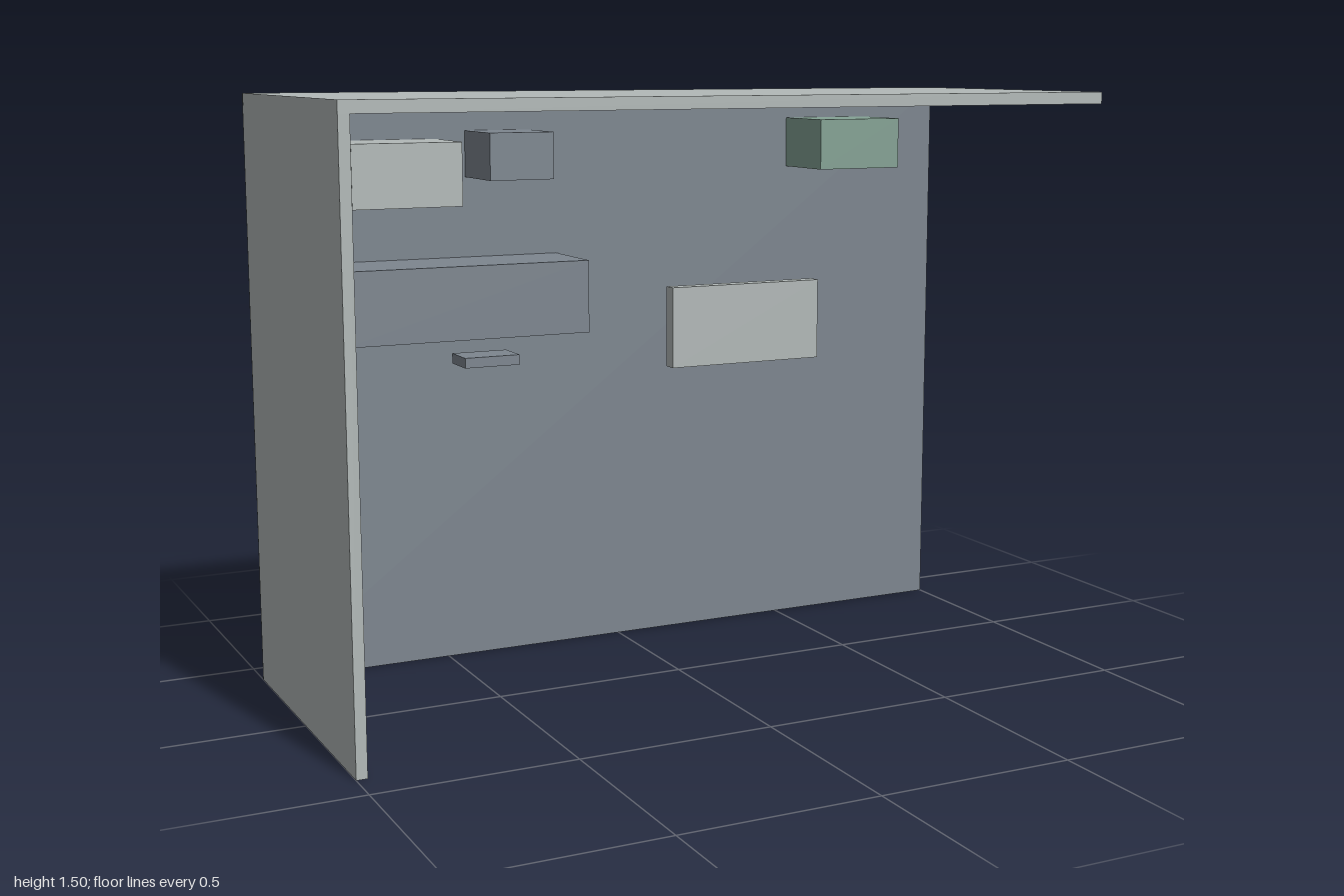
import * as THREE from 'three';

export function createModel() {
  const model = new THREE.Group();
  model.name = 'kitchenAlcove';

  const lightGrey = new THREE.MeshStandardMaterial({ name: 'light grey', color: 0xb2b9b8 });
  const slate = new THREE.MeshStandardMaterial({ name: 'slate grey', color: 0x7d868f });
  const sage = new THREE.MeshStandardMaterial({ name: 'sage green', color: 0x84a294 });

  // Box given by its limits on each axis
  function addBox(name, material, [x0, x1], [y0, y1], [z0, z1]) {
    const mesh = new THREE.Mesh(new THREE.BoxGeometry(x1 - x0, y1 - y0, z1 - z0), material);
    mesh.position.set((x0 + x1) / 2, (y0 + y1) / 2, (z0 + z1) / 2);
    mesh.name = name;
    model.add(mesh);
  }

  // Shell: back wall, one side wall and the roof
  addBox('backWall', slate, [-0.999, 1], [0, 1.499], [-0.405, -0.38]);
  addBox('sideWall', lightGrey, [-1, -0.973], [0, 1.47], [-0.4, 0.405]);
  addBox('roof', lightGrey, [-1, 1], [1.47, 1.5], [-0.396, 0.405]);

  // Boxes fixed to the back wall
  const wallFace = -0.38;
  addBox('upperCabinet', lightGrey, [-0.795, -0.51], [1.22, 1.38], [wallFace, -0.18]);
  addBox('smallCabinet', slate, [-0.43, -0.257], [1.28, 1.4], [wallFace, -0.197]);
  addBox('greenCabinet', sage, [0.523, 0.77], [1.285, 1.42], [wallFace, -0.187]);
  addBox('longCabinet', slate, [-0.83, -0.177], [0.885, 1.072], [wallFace, -0.163]);

  // Free-hanging panel and small shelf
  addBox('panel', lightGrey, [0.075, 0.518], [0.77, 0.985], [-0.224, -0.187]);
  addBox('smallShelf', slate, [-0.575, -0.433], [0.84, 0.865], [-0.1, -0.007]);

  return model;
}
